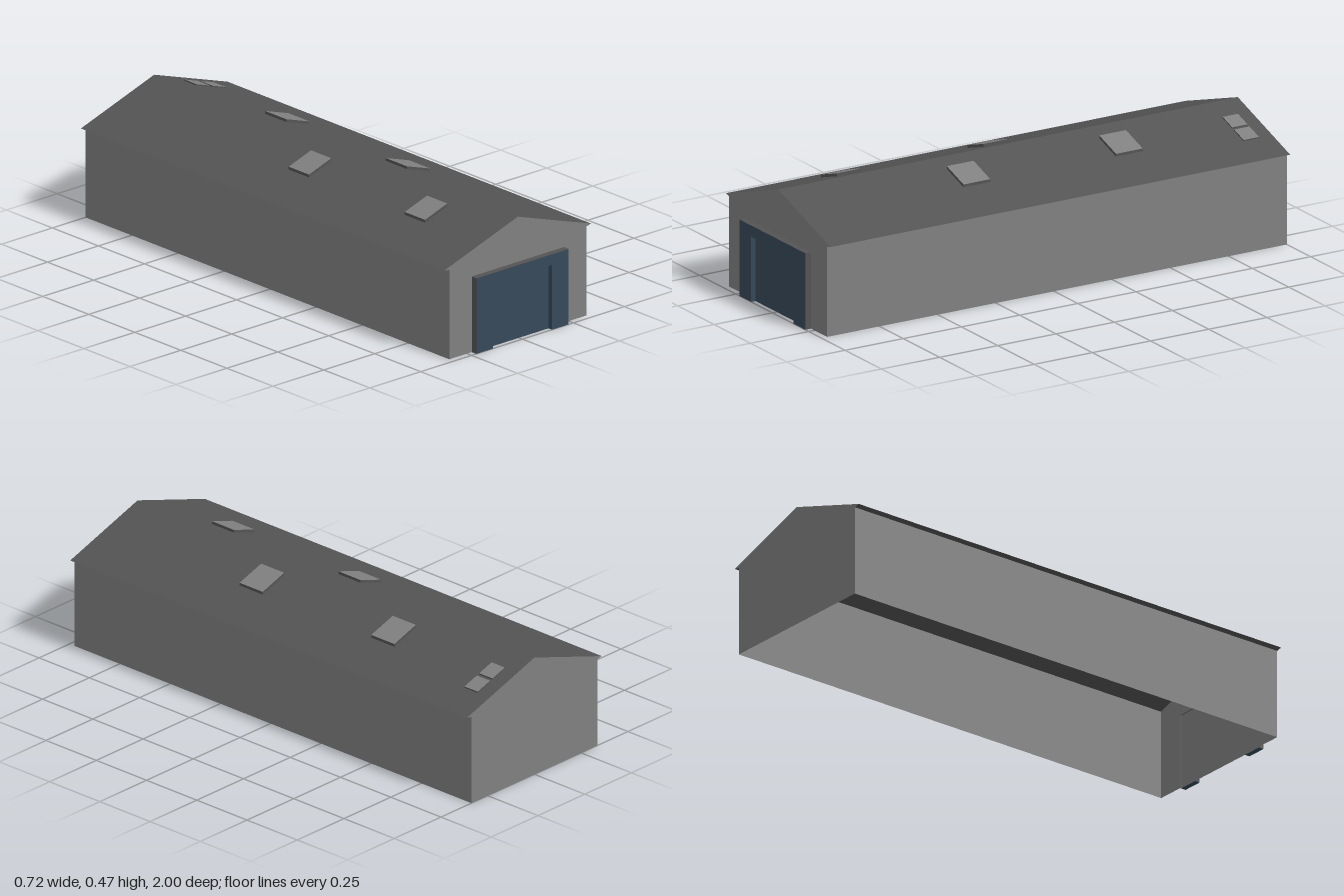
import * as THREE from 'three';

const FRONT = 0.975, BACK = -1;
const HALF = 0.337, EAVE = 0.36, RIDGE = 0.47;
const SLOPE = 0.118 / EAVE;

function material(name, color, side = THREE.FrontSide) {
  const m = new THREE.MeshStandardMaterial({ color, side });
  m.name = name;
  return m;
}

function shapeOf(points) {
  return new THREE.Shape(points.map(([x, y]) => new THREE.Vector2(x, y)));
}

export function createModel() {
  const group = new THREE.Group();
  const wall = material('wall grey', 0x808080, THREE.DoubleSide);
  const dark = material('roof grey', 0x545454);
  const blue = material('door blue', 0x364859);

  const add = (name, geometry, mat, x = 0, y = 0, z = 0) => {
    const mesh = new THREE.Mesh(geometry, mat);
    mesh.name = name;
    mesh.position.set(x, y, z);
    group.add(mesh);
    return mesh;
  };

  // Gable walls; the front one has a doorway
  const gable = [[-HALF, 0], [HALF, 0], [HALF, 0.347], [0, 0.458], [-HALF, 0.347]];
  const D = 0.225, DH = 0.293;
  add('frontWall', new THREE.ShapeGeometry(shapeOf([
    [-HALF, 0], [-D, 0], [-D, DH], [D, DH], [D, 0], ...gable.slice(1),
  ])), wall, 0, 0, FRONT);
  add('backWall', new THREE.ShapeGeometry(shapeOf(gable)).rotateY(Math.PI), wall, 0, 0, BACK);

  // Long side walls
  const length = FRONT - BACK, middle = (FRONT + BACK) / 2;
  for (const s of [-1, 1]) {
    const side = new THREE.PlaneGeometry(length, 0.347).rotateY(s * Math.PI / 2);
    add(s > 0 ? 'leftWall' : 'rightWall', side, wall, s * HALF, 0.1735, middle);
  }

  // Pitched roof with pointed eaves and pale gable ends
  const roof = shapeOf([
    [-EAVE, 0.352], [-HALF, 0.347], [0, 0.458], [HALF, 0.347], [EAVE, 0.352], [0, RIDGE],
  ]);
  add('roof', new THREE.ExtrudeGeometry(roof, { depth: length, bevelEnabled: false }),
    [wall, dark], 0, 0, BACK);

  // Skylights: boxes sheared to follow the roof pitch
  const skylight = (x, z, size, height) => {
    const base = 0.01;
    const geo = new THREE.BoxGeometry(size, height + base, size);
    const p = geo.attributes.position;
    for (let i = 0; i < p.count; i++) {
      p.setY(i, p.getY(i) - Math.sign(x) * SLOPE * p.getX(i));
    }
    geo.computeVertexNormals();
    const y = RIDGE - SLOPE * Math.abs(x) + (height - base) / 2;
    add('skylight', geo, [dark, dark, wall, dark, dark, dark], x, y, z);
  };
  skylight(0.128, 0.237, 0.115, 0.011);
  skylight(0.128, -0.418, 0.115, 0.011);
  skylight(-0.13, -0.01, 0.11, 0.011);
  skylight(-0.13, 0.62, 0.11, 0.011);
  skylight(0.128, -0.908, 0.066, 0.005);
  skylight(0.207, -0.908, 0.066, 0.005);

  // Door surround
  const I = 0.145, IH = 0.252;
  const surround = shapeOf([
    [-D, 0], [-I, 0], [-I, IH], [I, IH], [I, 0], [D, 0], [D, DH], [-D, DH],
  ]);
  add('doorSurround', new THREE.ExtrudeGeometry(surround, { depth: 0.02, bevelEnabled: false }),
    blue, 0, 0, 0.98);

  // Grey edging around the outside of the surround
  const t = 0.0015, depth = 0.0245, ez = FRONT + depth / 2;
  for (const s of [-1, 1]) {
    add('surroundSide', new THREE.BoxGeometry(t, DH, depth), dark, s * (D + t / 2), DH / 2, ez);
  }
  add('surroundTop', new THREE.BoxGeometry(2 * (D + t), t, depth), dark, 0, DH + t / 2, ez);

  // Recessed door and its inner lining
  add('door', new THREE.PlaneGeometry(2 * I, IH), blue, 0, IH / 2, 0.981);
  add('doorLining', new THREE.PlaneGeometry(2 * D, DH).rotateY(Math.PI), wall, 0, DH / 2, 0.979);

  return group;
}
